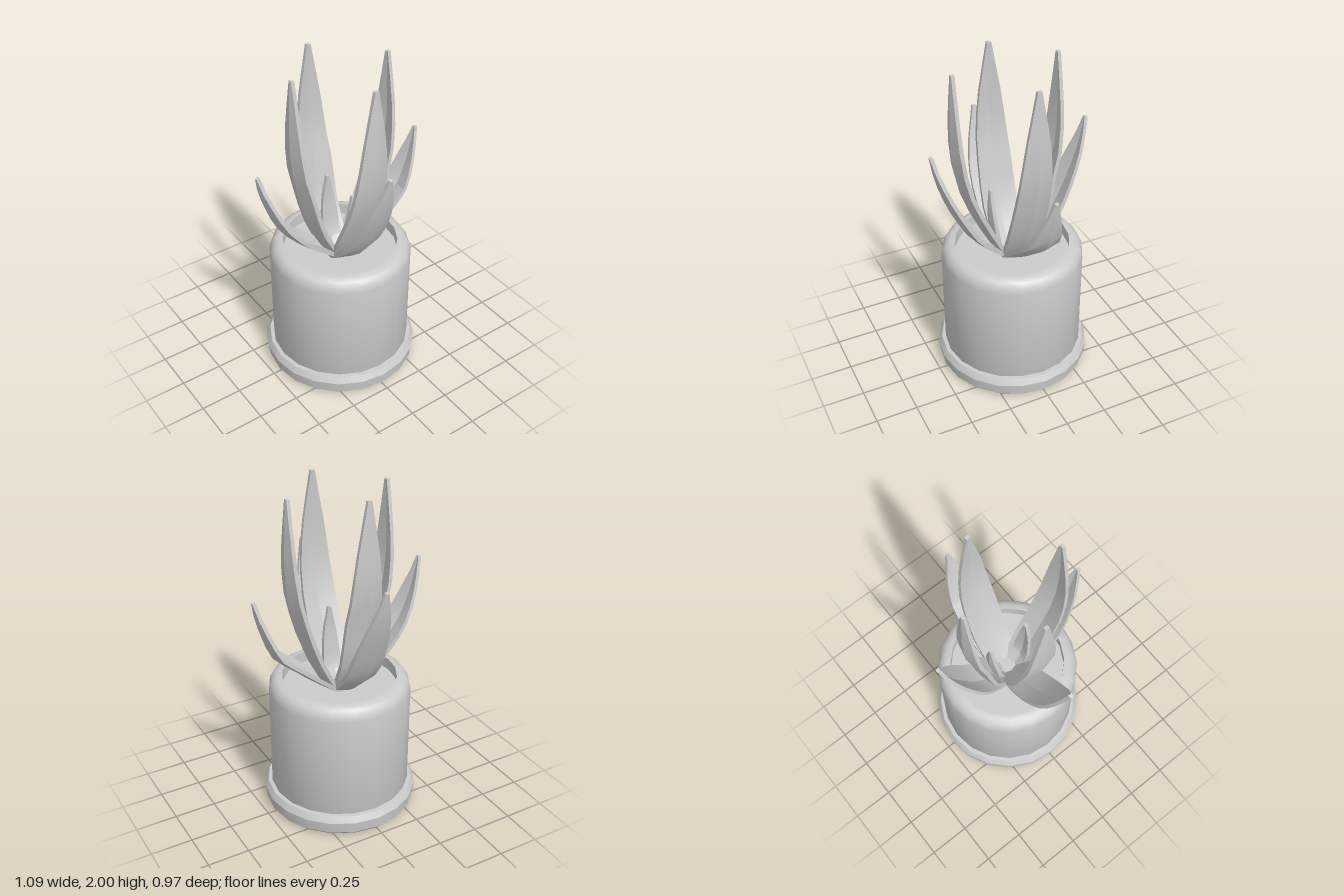
import * as THREE from 'three';
import { toCreasedNormals } from 'three/addons/utils/BufferGeometryUtils.js';

const material = new THREE.MeshStandardMaterial({ color: 0xcccccc });
const SIDES = 20;

function lathe(name, profile) {
  const points = profile.map(([r, y]) => new THREE.Vector2(r, y));
  const geometry = toCreasedNormals(new THREE.LatheGeometry(points, SIDES), 0.6);
  const mesh = new THREE.Mesh(geometry, material);
  mesh.name = name;
  return mesh;
}

// Keeled blade: spine is a list of [outward distance, height], widths are half-widths from base to tip
function leafGeometry(spine, widths, segments = 9) {
  const curve = new THREE.SplineCurve(spine.map(([r, y]) => new THREE.Vector2(r, y)));
  const widthCurve = new THREE.SplineCurve(
    widths.map((w, i) => new THREE.Vector2(i / (widths.length - 1), w)));
  const positions = [];
  const index = [];
  for (let i = 0; i <= segments; i++) {
    const u = i / segments;
    const p = curve.getPointAt(u);
    const t = curve.getTangentAt(u);
    const w = widthCurve.getPoint(u).y;
    const fold = -0.25 * w;
    const thick = 0.026 - 0.006 * u;
    // [offset along outward normal, sideways offset]
    const section = [
      [0, 0], [fold, -w], [fold - thick, -w],
      [-thick, 0], [fold - thick, w], [fold, w],
    ];
    for (const [n, s] of section) positions.push(p.x + t.y * n, p.y - t.x * n, s);
  }
  for (let i = 0; i < segments; i++) {
    for (let j = 0; j < 6; j++) {
      const a = i * 6 + j;
      const b = i * 6 + (j + 1) % 6;
      index.push(a, b, b + 6, a, b + 6, a + 6);
    }
  }
  // End caps
  const top = segments * 6;
  for (let j = 1; j < 5; j++) {
    index.push(0, j + 1, j);
    index.push(top, top + j, top + j + 1);
  }
  const geometry = new THREE.BufferGeometry();
  geometry.setAttribute('position', new THREE.Float32BufferAttribute(positions, 3));
  geometry.setIndex(index);
  return toCreasedNormals(geometry, 0.35);
}

// Leaf spines by kind, running from the soil to a given tip
const kinds = {
  tallLeaf: {
    spine: (r, y) => [[0.05, 0.74], [0.14, 0.86], [0.22, 1.02], [r - 0.035, 1.22],
      [r + 0.01, 1.42], [r + 0.022, 1.66], [r + 0.008, y]],
    widths: [0.085, 0.105, 0.107, 0.1, 0.083, 0.053, 0.012],
  },
  outerLeaf: {
    spine: (r, y) => [[0.06, 0.75], [0.19, 0.85], [r * 0.58, 0.96],
      [r * 0.8, y - 0.36], [r * 0.94, y - 0.16], [r, y]],
    widths: [0.085, 0.104, 0.105, 0.09, 0.056, 0.01],
  },
  smallLeaf: {
    spine: (r, y) => [[0.05, 0.72], [r - 0.02, 0.84], [r, 0.97], [r + 0.008, 1.1], [r + 0.002, y]],
    widths: [0.055, 0.058, 0.052, 0.036, 0.01],
  },
};

// kind, turn about y (0 is +x), tip distance, tip height
const Q = Math.PI / 2;
const leaves = [
  ['tallLeaf', 0, 0.32, 1.98], ['tallLeaf', 2 * Q, 0.305, 1.99],
  ['tallLeaf', -Q, 0.34, 1.99], ['tallLeaf', Q, 0.285, 2.0],
  ['outerLeaf', 0, 0.545, 1.43], ['outerLeaf', 2 * Q, 0.545, 1.48],
  ['outerLeaf', -Q, 0.488, 1.53], ['outerLeaf', Q, 0.48, 1.555],
  ['smallLeaf', -Q, 0.14, 1.23], ['smallLeaf', Q, 0.13, 1.23],
];

export function createModel() {
  const model = new THREE.Group();
  model.name = 'pottedSucculent';

  model.add(lathe('saucer', [
    [0, 0], [0.44, 0], [0.458, 0.02], [0.466, 0.09], [0.445, 0.128], [0.41, 0.13],
  ]));

  // Pot with a rounded shoulder and an inner lip
  model.add(lathe('pot', [
    [0.41, 0.1], [0.422, 0.13], [0.422, 0.765], [0.415, 0.8], [0.396, 0.828],
    [0.37, 0.843], [0.34, 0.845], [0.34, 0.75],
  ]));

  const soil = new THREE.Mesh(new THREE.CircleGeometry(0.342, SIDES), material);
  soil.name = 'soil';
  soil.rotation.x = -Math.PI / 2;
  soil.position.y = 0.775;
  model.add(soil);

  const plant = new THREE.Group();
  plant.name = 'leaves';
  for (const [kind, turn, r, y] of leaves) {
    const { spine, widths } = kinds[kind];
    const leaf = new THREE.Mesh(leafGeometry(spine(r, y), widths), material);
    leaf.name = kind;
    leaf.rotation.y = turn;
    if (Math.abs(turn) === Q) leaf.position.x = kind === 'smallLeaf' ? -0.005 : -0.015;
    plant.add(leaf);
  }
  model.add(plant);
  return model;
}
